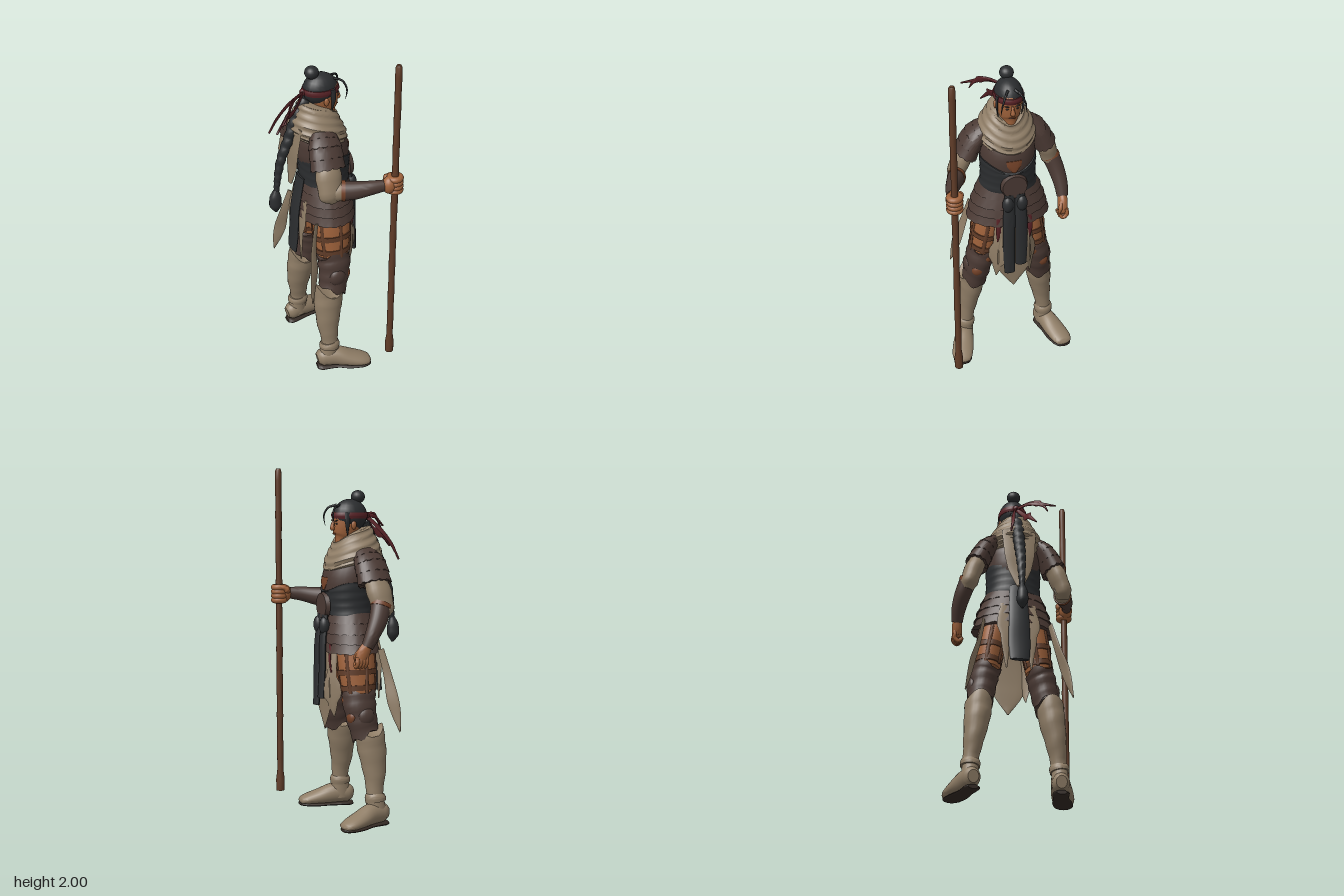
import * as THREE from 'three';
import { toCreasedNormals } from 'three/addons/utils/BufferGeometryUtils.js';

const mat = (name, color) => Object.assign(new THREE.MeshStandardMaterial({ color }), { name });
const V = (x, y, z) => new THREE.Vector3(x, y, z);
const X = V(1, 0, 0), Y = V(0, 1, 0), Z = V(0, 0, 1);
const MID = -0.025; // body centre line in z; the figure faces +x

// Samples rows of [x, y, z, halfA, halfB] along a smooth path
function sampler(rows) {
  const p = new THREE.CatmullRomCurve3(rows.map(r => V(r[0], r[1], r[2])));
  const q = new THREE.CatmullRomCurve3(rows.map(r => V(r[3], r[4], 0)));
  return (t, k = 1) => {
    const a = p.getPoint(t), b = q.getPoint(t);
    return [a.x, a.y, a.z, Math.max(b.x, 0.001) * k, Math.max(b.y, 0.001) * k];
  };
}

// Capped tube of elliptical rings; halfA lies along ref, halfB across it
function sweepGeometry(rows, { ref = X, seg = 24, steps = 4, raw = false, rad, drop, crease = 0.8 } = {}) {
  if (!raw) {
    const f = sampler(rows), n = (rows.length - 1) * steps;
    rows = Array.from({ length: n + 1 }, (_, i) => f(i / n));
  }
  const pos = [], idx = [], n = rows.length;
  const at = i => V(...rows[Math.min(n - 1, Math.max(0, i))].slice(0, 3));
  for (let i = 0; i < n; i++) {
    const t = at(i + 1).sub(at(i - 1)).normalize();
    const u = ref.clone().addScaledVector(t, -ref.dot(t)).normalize();
    const v = t.clone().cross(u);
    for (let j = 0; j < seg; j++) {
      const a = j / seg * Math.PI * 2, k = rad ? rad(i, a) : 1;
      const p = at(i).addScaledVector(u, Math.cos(a) * rows[i][3] * k).addScaledVector(v, Math.sin(a) * rows[i][4] * k);
      if (drop) p.addScaledVector(t, drop(i, a));
      pos.push(p.x, p.y, p.z);
      const j2 = (j + 1) % seg, b = i * seg, c = b + seg;
      if (i < n - 1) idx.push(b + j, b + j2, c + j2, b + j, c + j2, c + j);
    }
  }
  pos.push(...at(0).toArray(), ...at(n - 1).toArray());
  for (let j = 0; j < seg; j++) {
    const j2 = (j + 1) % seg, e = (n - 1) * seg;
    idx.push(n * seg, j2, j, n * seg + 1, e + j, e + j2);
  }
  const g = new THREE.BufferGeometry();
  g.setAttribute('position', new THREE.Float32BufferAttribute(pos, 3));
  g.setIndex(idx);
  return toCreasedNormals(g, crease);
}

export function createModel() {
  const skin = mat('skin', 0x9f623b), dark = mat('black cloth and hair', 0x2b2d2f), brown = mat('brown armour', 0x4b3a34);
  const beige = mat('beige cloth', 0x8f7d66), red = mat('dark red cloth', 0x5a2327), wood = mat('wood', 0x603c28);
  const strap = mat('tan leather', 0x744228), sole = mat('sole', 0x342a24);
  const model = new THREE.Group();
  model.name = 'staffFighter';
  const add = (name, geo, m) => {
    const mesh = new THREE.Mesh(geo, m);
    mesh.name = name;
    model.add(mesh);
    return mesh;
  };
  const sweep = (name, m, rows, o) => add(name, sweepGeometry(rows, o), m);
  const ball = (name, m, p, r) => {
    const b = add(name, new THREE.SphereGeometry(1, 20, 14), m);
    b.position.set(...p);
    b.scale.set(...r);
    return b;
  };
  // Cloth strip: rows of [x, y, z, halfWidth], width along ref
  const cloth = (name, m, rows, ref = Z, thick = 0.004) => sweep(name, m, rows.map(r => [...r, thick]), { ref, seg: 12 });
  // Overlapping scalloped armour rows
  const armour = (name, rows, n, scallops) => {
    const f = sampler(rows), out = [];
    for (let k = 0; k < n; k++) out.push(f((k + 0.02) / n, 0.98), f((k + 0.5) / n), f((k + 0.95) / n, 1.035));
    return sweep(name, brown, out, { raw: true, seg: 64, crease: 0.6,
      drop: (i, a) => i % 3 === 2 ? 0.009 * Math.abs(Math.sin(a * scallops / 2)) : 0 });
  };
  const front = a => Math.max(0, Math.cos(a)) ** 3;

  // Torso, sash and belt plate
  sweep('torso', brown, [[0, 1.13, MID, .13, .16], [.005, 1.25, MID, .13, .145], [-.005, 1.38, MID, .148, .155], [-.025, 1.47, MID, .13, .15], [-.04, 1.54, MID, .08, .11]], { seg: 32 });
  sweep('waistSash', dark, [[.003, 1.19, MID, .14, .165], [.003, 1.25, MID, .142, .157], [.003, 1.31, MID, .145, .158], [.001, 1.375, MID, .148, .161]],
    { seg: 40, rad: (i, a) => 1 + 0.012 * Math.sin(i * 2 + Math.sin(a * 2)), drop: (i, a) => i > 8 ? -(i - 8) * 0.015 * front(a) : 0 });
  const plate = add('beltPlate', new THREE.CylinderGeometry(.07, .078, .025, 28), brown);
  plate.position.set(.15, 1.24, MID);
  plate.rotation.z = -Math.PI / 2;
  cloth('chestPatch', strap, [[.139, 1.4, MID, .045], [.144, 1.37, MID, .04], [.147, 1.33, MID, .012]], Z, .006);
  armour('armourSkirt', [[0, 1.21, MID, .132, .165], [0, 1.09, MID, .155, .208], [0, .985, MID, .165, .233]], 4, 20);

  // Hanging cloths at front, back and hips
  cloth('frontCloth', beige, [[.13, 1.1, MID, .06], [.15, .95, MID, .08], [.15, .75, MID, .1], [.145, .66, MID, .085], [.14, .54, MID, .004]]);
  for (const s of [-1, 1]) {
    cloth('frontSash', dark, [[.15, 1.19, MID + s * .028, .03], [.168, 1.02, MID + s * .035, .036], [.172, .85, MID + s * .037, .035], [.178, s > 0 ? .67 : .72, MID + s * .033, .032]], Z, .016);
    ball('sashKnot', dark, [.16, 1.13, MID + s * .04], [.03, .05, .032]);
    cloth('redLining', red, [[.145, 1.03, MID + s * .088, .014], [.15, .95, MID + s * .092, .015], [.14, .87, MID + s * .092, .006]]);
    cloth('frontClothSide', beige, [[.12, 1, MID + s * .085, .02], [.14, .85, MID + s * .095, .03], [.135, .7, MID + s * .1, .03], [.125, .62, MID + s * .1, .004]], V(-.7, 0, s * .7));
    cloth('hipCloth', beige, [[-.12, 1, MID + s * .19, .018], [-.15, .85, MID + s * .222, .024], [-.163, .72, MID + s * .26, .034], [-.178, .63, MID + s * .28, .025], [-.19, .54, MID + s * .3, .003]], V(-.8, 0, s * .5));
    cloth('backCloth', beige, [[-.14, 1.1, MID + s * .07, .03], [-.165, .9, MID + s * .075, .03], [-.165, .7, MID + s * .07, .005]]);
  }
  cloth('backSash', dark, [[-.135, 1.22, MID, .05], [-.172, 1, MID, .058], [-.18, .85, MID, .062], [-.19, .74, MID, .055]], Z, .014);
  cloth('backDrape', beige, [[-.165, 1.56, MID, .1], [-.185, 1.4, MID, .088], [-.187, 1.3, MID, .068], [-.198, 1.19, MID, .02]], Z, .009);

  // Scarf on an upright axis, low in front and high at the back
  sweep('scarf', beige, [[-.03, 1.45, MID, .135, .13], [-.03, 1.475, MID, .152, .152], [-.03, 1.51, MID, .162, .162], [-.03, 1.56, MID, .15, .15], [-.03, 1.61, MID, .125, .12], [-.03, 1.65, MID, .11, .095], [-.03, 1.658, MID, .09, .075]],
    { seg: 56, steps: 5, rad: (i, a) => 1 + 0.032 * Math.sin(i * 1.5 + 2 * Math.sin(a + 0.6)), drop: (i, a) => -0.03 * Math.cos(a) - 0.03 * front(a) });

  // Head and face
  sweep('head', skin, [[.02, 1.56, -.03, .05, .035], [.03, 1.59, -.03, .045, .036], [.018, 1.625, -.03, .068, .055], [.01, 1.68, -.03, .079, .067], [0, 1.75, -.03, .088, .07], [0, 1.8, -.03, .06, .05]]);
  sweep('nose', skin, [[.085, 1.715, -.03, .008, .007], [.093, 1.69, -.03, .01, .01], [.094, 1.671, -.03, .013, .014], [.085, 1.662, -.03, .006, .008]], { seg: 12 });
  ball('mouth', strap, [.083, 1.641, -.03], [.006, .005, .02]);
  for (const s of [-1, 1]) {
    ball('eye', dark, [.08, 1.698, -.03 + s * .027], [.005, .004, .011]);
    ball('eyebrow', dark, [.082, 1.714, -.03 + s * .028], [.006, .003, .016]).rotation.x = -s * .2;
    ball('ear', skin, [-.005, 1.69, -.03 + s * .073], [.015, .024, .01]);
    sweep('hairStrand', dark, [[.06, 1.8, -.03 + s * .02, .008, .008], [.1, 1.785, -.03 + s * .045, .006, .006], [.118, 1.74, -.03 + s * .065, .005, .005], [.108, 1.685, -.03 + s * .07, .001, .001]], { ref: Z, seg: 8 });
    sweep('sideLock', dark, [[.03, 1.76, -.03 + s * .072, .018, .008], [.035, 1.7, -.03 + s * .075, .014, .006], [.03, 1.63, -.03 + s * .066, .002, .002]], { seg: 10 });
  }
  ball('hair', dark, [-.012, 1.742, -.033], [.1, .092, .079]);
  ball('bun', dark, [-.06, 1.845, -.035], [.04, .037, .04]);
  sweep('headband', red, [[-.01, 1.726, -.032, .102, .081], [-.01, 1.743, -.032, .107, .084], [-.01, 1.76, -.032, .102, .081]], { seg: 32 });
  ball('headbandKnot', red, [-.115, 1.74, -.03], [.018, .02, .02]);
  for (const r of [
    [[-.11, 1.74, -.03, .012], [-.19, 1.745, .04, .012], [-.24, 1.715, .09, .012], [-.31, 1.67, .16, .003]],
    [[-.11, 1.74, -.03, .012], [-.2, 1.73, .03, .013], [-.25, 1.7, .1, .01], [-.28, 1.65, .12, .003]],
    [[-.11, 1.74, -.03, .012], [-.18, 1.66, .01, .014], [-.24, 1.62, .02, .014], [-.3, 1.56, .05, .004]],
    [[-.11, 1.74, -.03, .012], [-.19, 1.66, -.06, .015], [-.25, 1.58, -.075, .014], [-.29, 1.49, -.095, .004]],
  ]) cloth('headbandTail', red, r, V(0, 1, .5), .006);

  // Braid with its tassel
  const braid = sampler([[-.1, 1.7, -.03, .03, .032], [-.16, 1.58, -.03, .03, .034], [-.205, 1.46, -.03, .028, .032], [-.25, 1.34, -.03, .025, .028], [-.272, 1.22, -.03, .019, .02], [-.28, 1.14, -.03, .014, .014]]);
  const braidRows = Array.from({ length: 67 }, (_, i) => braid(i / 66));
  sweep('braid', dark, braidRows, { raw: true, seg: 16, rad: (i, a) => 0.88 + 0.2 * Math.abs(Math.sin(i * 0.52 + (Math.sin(a) > 0 ? 0 : 1.57))) });
  sweep('braidTassel', dark, [[-.28, 1.16, -.03, .012, .012], [-.286, 1.11, -.03, .033, .03], [-.287, 1.06, -.03, .036, .033], [-.283, 1.01, -.03, .006, .006]], { seg: 16 });

  // Sloping shoulder guards
  for (const s of [-1, 1])
    armour(s > 0 ? 'rightShoulderGuard' : 'leftShoulderGuard', [[-.05, 1.535, MID + s * .115, .07, .045], [-.06, 1.475, MID + s * .175, .094, .06], [-.065, 1.375, MID + s * .226, .097, .067]], 4, 12);

  // Sleeves, bracers and cuffs
  const folds = { rad: (i, a) => 1 + 0.035 * Math.sin(i * 1.7 + Math.sin(a)) };
  sweep('rightSleeve', beige, [[-.062, 1.42, .178, .06, .042], [-.07, 1.345, .218, .073, .053], [-.07, 1.24, .255, .07, .048], [-.055, 1.2, .26, .03, .03]], folds);
  sweep('rightSleeveEnd', beige, [[-.1, 1.25, .235, .04, .04], [-.04, 1.25, .26, .052, .048], [.01, 1.256, .272, .053, .045]], { ref: Y });
  sweep('rightBracer', brown, [[-.01, 1.255, .265, .056, .049], [.05, 1.258, .293, .053, .045], [.13, 1.272, .325, .042, .036], [.205, 1.28, .343, .034, .028]], { ref: Y });
  sweep('rightElbowStrap', strap, [[-.012, 1.255, .264, .06, .052], [.008, 1.255, .273, .06, .052]], { ref: Y });
  sweep('leftSleeve', beige, [[-.062, 1.42, -.228, .06, .042], [-.078, 1.345, -.266, .072, .053], [-.09, 1.24, -.3, .066, .05], [-.08, 1.2, -.31, .04, .035]], folds);
  sweep('leftBracer', brown, [[-.082, 1.26, -.3, .058, .05], [-.05, 1.18, -.327, .053, .047], [-.007, 1.1, -.344, .042, .04], [.025, 1.035, -.346, .034, .032]]);
  sweep('leftElbowStrap', strap, [[-.085, 1.264, -.298, .062, .053], [-.076, 1.244, -.305, .062, .053]]);

  // Staff and the fist around it
  const staff = Array.from({ length: 30 }, (_, i) => {
    const r = 0.0185 + (i < 2 ? 0.006 : 0) + 0.0012 * Math.sin(i * 2.1);
    return [.272, .1 + i * 1.9 / 29, .343, r, r];
  });
  staff.push([.272, 2, .343, .012, .012]);
  staff[29][1] = 1.99;
  sweep('staff', wood, staff, { raw: true, seg: 14 });
  ball('rightPalm', skin, [.237, 1.278, .345], [.042, .052, .04]);
  for (let i = 0; i < 4; i++) {
    const f = add('rightFinger', new THREE.TorusGeometry(.03, .018, 10, 20), skin);
    f.position.set(.272, 1.24 + i * .025, .343);
    f.rotation.x = Math.PI / 2;
  }
  sweep('rightThumb', skin, [[.225, 1.29, .315, .014, .014], [.25, 1.31, .302, .014, .014], [.285, 1.318, .308, .01, .01]], { ref: Z, seg: 12 });

  // Relaxed left hand
  sweep('leftPalm', skin, [[.022, 1.05, -.345, .028, .026], [.045, 1.005, -.342, .038, .028], [.058, .965, -.337, .036, .028], [.055, .945, -.33, .02, .016]]);
  for (let i = 0; i < 4; i++) {
    const x = .03 + i * .018;
    sweep('leftFinger', skin, [[x, .985, -.352, .011, .012], [x + .004, .945, -.355, .011, .012], [x + .004, .928, -.335, .01, .012], [x, .945, -.31, .009, .009]], { seg: 10 });
  }
  sweep('leftThumb', skin, [[.06, 1.02, -.33, .013, .013], [.082, .985, -.318, .012, .012], [.078, .955, -.312, .008, .008]], { ref: Z, seg: 10 });

  // Legs, mirrored across the centre line
  for (const s of [-1, 1]) {
    const side = s > 0 ? 'right' : 'left';
    const z = o => MID + s * o;
    sweep(side + 'Thigh', skin, [[0, 1.03, z(.1), .11, .085], [0, .9, z(.128), .108, .082], [0, .75, z(.15), .09, .075]]);
    for (const [y, o, k] of [[.872, .132, 1], [.785, .146, .93]])
      sweep(side + 'ThighStrap', wood, [[0, y + .015, z(o), .112 * k, .086 * k], [0, y - .015, z(o + .003), .111 * k, .085 * k]], { crease: .5 });
    for (let i = 0; i < 6; i++) {
      const a = i * Math.PI / 3 + .3, c = Math.cos(a), d = Math.sin(a);
      sweep(side + 'VerticalStrap', wood, [[c * .112, .98, z(.112) + d * .086, .006, .011], [c * .109, .87, z(.132) + d * .084, .006, .011], [c * .096, .76, z(.149) + d * .078, .006, .011]], { ref: V(c, 0, d), seg: 8 });
    }
    // Knee guard with a ragged hem and leather patches
    sweep(side + 'KneeGuard', brown, [[-.003, .755, z(.15), .097, .08], [0, .7, z(.165), .096, .08], [-.008, .61, z(.18), .088, .076], [-.025, .53, z(.193), .082, .072]],
      { drop: (i, a) => i === 0 ? .02 * Math.sin(a * 3) : i === 12 ? .025 * Math.cos(a) + .012 * Math.sin(a * 5) : 0, rad: folds.rad });
    ball(side + 'Kneecap', strap, [.058, .625, z(.192)], [.028, .04, .038]);
    ball(side + 'KneeUpperPatch', strap, [.075, .715, z(.14)], [.02, .03, .025]);
    ball(side + 'KneePad', brown, [-.01, .63, z(.235)], [.05, .055, .03]);
    // Boot, cuff, foot and sole
    sweep(side + 'Boot', beige, [[-.045, .54, z(.2), .085, .077], [-.057, .44, z(.21), .083, .073], [-.065, .3, z(.23), .064, .056], [-.06, .19, z(.243), .049, .044], [-.07, .06, z(.25), .062, .05]],
      { drop: (i, a) => i === 0 ? -.03 * Math.cos(a * 2) : 0, rad: (i, a) => 1 + .025 * Math.sin(i * 1.9 + 2 * Math.sin(a)) });
    sweep(side + 'BootCuff', beige, [[-.065, .19, z(.243), .05, .046], [-.063, .168, z(.245), .061, .055], [-.065, .145, z(.247), .06, .053]]);
    sweep(side + 'Foot', beige, [[-.138, .07, z(.24), .035, .03], [-.11, .075, z(.243), .055, .048], [-.03, .078, z(.262), .06, .054], [.05, .06, z(.288), .046, .062], [.12, .045, z(.31), .033, .06], [.158, .037, z(.318), .022, .046], [.17, .035, z(.32), .008, .022]], { ref: Y });
    sweep(side + 'Sole', sole, [[-.138, .013, z(.24), .012, .028], [-.11, .014, z(.243), .014, .046], [-.02, .015, z(.263), .012, .044], [.06, .014, z(.29), .013, .056], [.125, .016, z(.311), .013, .054], [.16, .019, z(.319), .012, .04], [.17, .021, z(.32), .008, .02]], { ref: Y });
  }
  return model;
}
